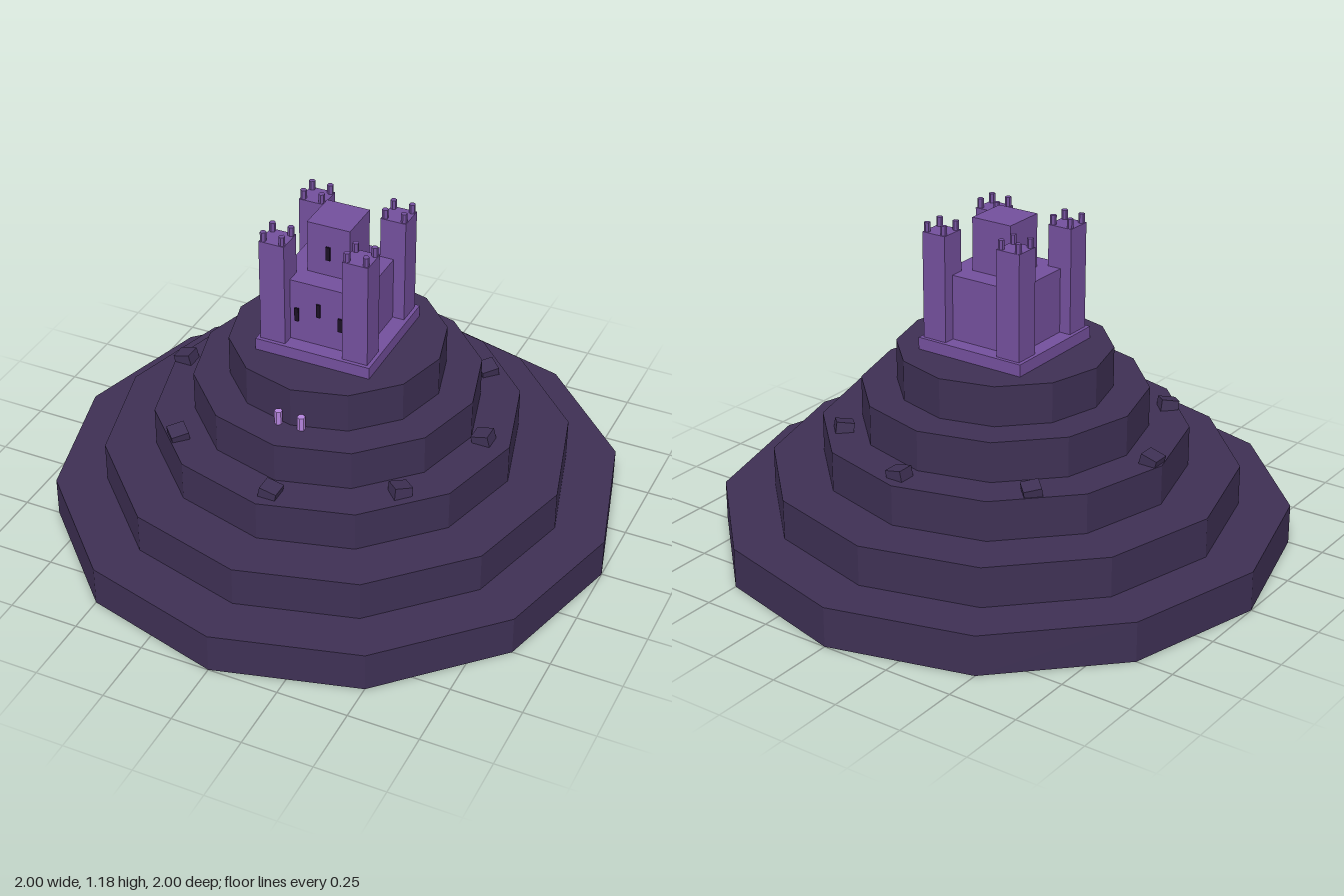
import * as THREE from 'three';

const mat = (color) => new THREE.MeshStandardMaterial({ color, flatShading: true });

export function createModel() {
  const model = new THREE.Group();
  const rock = mat(0x3e3054), stone = mat(0x734f9c), dark = mat(0x1a1024), glow = mat(0xb383dc);

  function add(name, geometry, material, x, y, z, parent = model) {
    const mesh = new THREE.Mesh(geometry, material);
    mesh.name = name;
    mesh.position.set(x, y, z);
    parent.add(mesh);
    return mesh;
  }
  const box = (w, h, d) => new THREE.BoxGeometry(w, h, d);

  // Stepped twelve-sided hill
  const step = 0.1435;
  [1, 0.82, 0.64, 0.5, 0.375].forEach((r, i) => {
    add('hillTier', new THREE.CylinderGeometry(r, r, step, 12), rock, 0, step * (i + 0.5), 0);
  });

  // Tilted boulders around the third tier: x, z, yaw, tilt about x, tilt about z
  const q = Math.PI / 4;
  [
    [0.545, 0, 0, 0, 0.25], [-0.6, 0, 0, 0, 0.25],
    [0.02, 0.57, 0, 0, -0.2], [0.02, -0.57, 0, 0, -0.2],
    [0.405, 0.385, q, -0.22, 0], [0.405, -0.385, q, 0.22, 0],
    [-0.405, 0.42, q, 0.22, 0], [-0.405, -0.42, q, -0.22, 0],
  ].forEach(([x, z, yaw, tiltX, tiltZ]) => {
    add('boulder', box(0.062, 0.05, 0.062), rock, x, 0.437, z).rotation.set(tiltX, yaw, tiltZ);
  });

  // Castle: plinth, main hall and central keep
  const castle = new THREE.Group();
  castle.name = 'castle';
  model.add(castle);
  add('plinth', box(0.42, 0.045, 0.42), stone, 0, 0.738, 0, castle);
  add('mainHall', box(0.31, 0.232, 0.31), stone, 0, 0.875, 0, castle);
  add('keep', box(0.156, 0.2, 0.156), stone, 0, 1.08, 0, castle);

  // Corner towers, each with four small battlement posts
  for (const sx of [-1, 1]) for (const sz of [-1, 1]) {
    const tower = new THREE.Group();
    tower.name = 'cornerTower';
    tower.position.set(sx * 0.151, 0, sz * 0.151);
    castle.add(tower);
    add('towerShaft', box(0.092, 0.38, 0.092), stone, 0, 0.949, 0, tower);
    for (const mx of [-1, 1]) for (const mz of [-1, 1]) {
      add('merlon', new THREE.CylinderGeometry(0.011, 0.011, 0.036, 6), stone, mx * 0.034, 1.154, mz * 0.034, tower);
    }
  }

  // Window slits on the front
  [[-0.08, 0.862, 0.155], [0.08, 0.862, 0.155], [0, 0.897, 0.155], [0, 1.077, 0.078]].forEach(([x, y, z]) => {
    add('windowSlit', box(0.015, 0.05, 0.012), dark, x, y, z, castle);
  });

  // Pair of glowing posts on the fourth tier
  for (const s of [-1, 1]) {
    add('glowingPost', new THREE.CylinderGeometry(0.014, 0.014, 0.05, 6), glow, s * 0.042, 0.599, 0.38);
  }
  return model;
}
